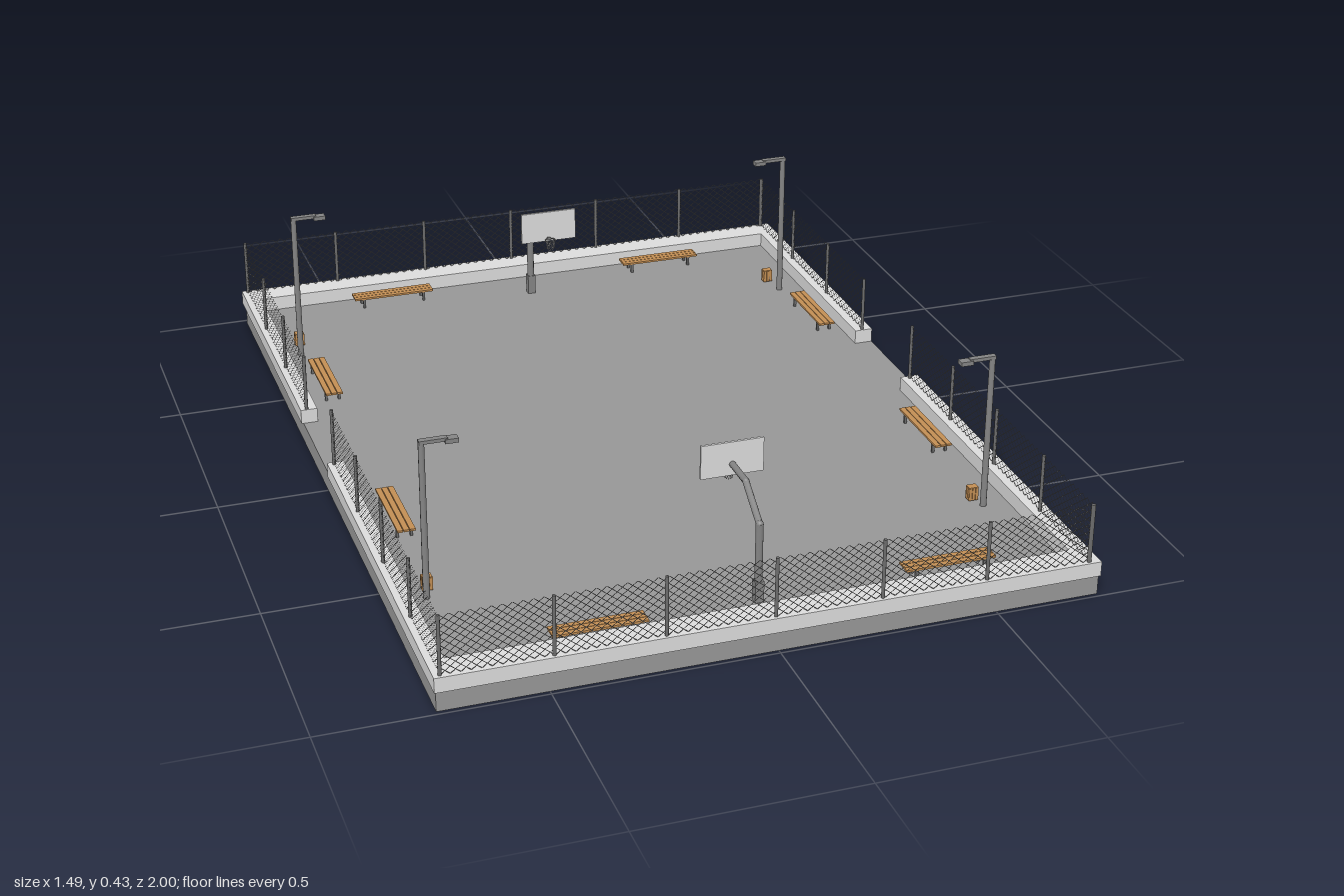
import * as THREE from 'three';
import { mergeGeometries } from 'three/addons/utils/BufferGeometryUtils.js';

const mat = (name, color) => {
  const m = new THREE.MeshStandardMaterial({ color });
  m.name = name;
  return m;
};

export function createModel() {
  const asphalt = mat('asphalt', 0x979797);
  const concrete = mat('concrete', 0xdcdcdc);
  const steel = mat('steel', 0x848484);
  const darkSteel = mat('dark steel', 0x6c6c6c);
  const wire = mat('fence wire', 0x868686);
  wire.side = THREE.DoubleSide;
  const wood = mat('wood', 0xc28e54);
  const FLOOR = 0.05, CURB = 0.085, TOP = 0.225;

  const model = new THREE.Group();
  model.name = 'sportsCourt';
  const group = (name, x = 0, y = 0, z = 0) => {
    const g = new THREE.Group();
    g.name = name;
    g.position.set(x, y, z);
    model.add(g);
    return g;
  };
  const add = (parent, name, geo, material) => {
    const m = new THREE.Mesh(geo, material);
    m.name = name;
    parent.add(m);
  };
  // box given by its minimum and maximum corners
  const box = (x0, y0, z0, x1, y1, z1) =>
    new THREE.BoxGeometry(x1 - x0, y1 - y0, z1 - z0)
      .translate((x0 + x1) / 2, (y0 + y1) / 2, (z0 + z1) / 2);
  // round bar between two points
  const bar = (a, b, r0, r1 = r0, sides = 8) => {
    const p = new THREE.Vector3(...a), q = new THREE.Vector3(...b);
    const d = q.clone().sub(p);
    const geo = new THREE.CylinderGeometry(r1, r0, d.length(), sides);
    geo.applyQuaternion(new THREE.Quaternion().setFromUnitVectors(
      new THREE.Vector3(0, 1, 0), d.normalize()));
    return geo.translate((p.x + q.x) / 2, (p.y + q.y) / 2, (p.z + q.z) / 2);
  };

  // Slab and raised curbs with a gateway on each long side
  add(model, 'courtSlab', box(-0.74, 0, -0.98, 0.74, FLOOR, 0.99), asphalt);
  add(model, 'backCurb', box(-0.745, FLOOR, -1, 0.74, CURB, -0.935), concrete);
  add(model, 'frontCurb', box(-0.745, FLOOR, 0.93, 0.74, CURB, 1), concrete);
  for (const [side, x0, x1] of [['right', -0.745, -0.705], ['left', 0.695, 0.74]]) {
    add(model, side + 'BackCurb', box(x0, FLOOR, -0.935, x1, CURB, -0.26), concrete);
    add(model, side + 'FrontCurb', box(x0, FLOOR, 0.025, x1, CURB, 0.93), concrete);
  }

  // Chain-link fence running along local x: posts plus clipped flat diagonal wires
  function fence(name, x, z, length, bays, alongZ, phase) {
    const g = group(name, x, CURB, z);
    if (alongZ) g.rotation.y = -Math.PI / 2;
    const h = TOP - CURB, run = h * 1.25, step = 0.022;
    const posts = [], wires = [];
    for (let i = 0; i <= bays; i++) {
      const u = length * i / bays;
      posts.push(bar([u, 0, 0], [u, h, 0], 0.0042));
    }
    for (let s = phase - run; s < length; s += step) {
      const a = Math.max(0, s), b = Math.min(length, s + run);
      if (b - a < 0.003) continue;
      const ya = (a - s) / run * h, yb = (b - s) / run * h;
      for (const flip of [false, true]) {
        const y0 = flip ? h - ya : ya, y1 = flip ? h - yb : yb;
        const geo = new THREE.PlaneGeometry(Math.hypot(b - a, y1 - y0), 0.0016);
        geo.rotateZ(Math.atan2(y1 - y0, b - a));
        wires.push(geo.translate((a + b) / 2, (y0 + y1) / 2, flip ? 0.0003 : -0.0003));
      }
    }
    add(g, 'fencePosts', mergeGeometries(posts), darkSteel);
    add(g, 'fenceWire', mergeGeometries(wires), wire);
  }
  fence('frontFence', -0.73, 0.99, 1.443, 6, false, 0);
  fence('backFence', -0.73, -0.99, 1.443, 6, false, 0.005);
  for (const [side, x, phase] of [['right', -0.73, 0], ['left', 0.715, 0.008]]) {
    fence(side + 'FrontFence', x, 0.035, 0.955, 4, true, 0);
    fence(side + 'BackFence', x, -0.99, 0.725, 3, true, phase);
  }

  // Hoop built at the front end, turned round for the back end
  function hoop(name, z, turn) {
    const g = group(name, 0, FLOOR, z);
    if (turn) g.rotation.y = Math.PI;
    add(g, 'hoopPole', mergeGeometries([
      box(-0.01, 0, -0.01, 0.01, 0.05, 0.01),
      bar([0, 0, 0], [0, 0.187, 0], 0.009),
      bar([0, 0.183, 0.002], [0, 0.245, -0.087], 0.008),
      bar([0, 0.244, -0.082], [0, 0.244, -0.168], 0.0075),
      new THREE.SphereGeometry(0.009, 10, 8).translate(0, 0.185, 0),
      new THREE.SphereGeometry(0.008, 10, 8).translate(0, 0.244, -0.085),
    ]), steel);
    add(g, 'backboard', box(-0.072, 0.217, -0.173, 0.072, 0.297, -0.167), concrete);
    const rim = new THREE.TorusGeometry(0.013, 0.0015, 6, 20).rotateX(Math.PI / 2);
    add(g, 'rim', mergeGeometries([
      rim.translate(0, 0.225, -0.189), box(-0.004, 0.222, -0.178, 0.004, 0.228, -0.173),
    ]), steel);
    const cords = [];
    for (let i = 0; i < 10; i++) {
      const a = i * Math.PI / 5;
      for (const twist of [-0.6, 0.6]) {
        cords.push(bar([Math.cos(a) * 0.013, 0.225, -0.189 + Math.sin(a) * 0.013],
          [Math.cos(a + twist) * 0.008, 0.2, -0.189 + Math.sin(a + twist) * 0.008], 0.0006, 0.0006, 4));
      }
    }
    add(g, 'net', mergeGeometries(cords), concrete);
  }
  hoop('frontHoop', 0.863, false);
  hoop('backHoop', -0.833, true);

  // Lamp posts reach their broad, flat heads over the court
  function lamp(x, z) {
    const g = group('lampPost', x, FLOOR, z);
    if (x > 0) g.rotation.y = Math.PI;
    add(g, 'lampPole', mergeGeometries([
      bar([0, 0, 0], [0, 0.377, 0], 0.0075, 0.0068, 10),
      box(-0.006, 0.369, -0.007, 0.056, 0.377, 0.007),
    ]), steel);
    add(g, 'lampHead', box(0.05, 0.364, -0.01, 0.079, 0.374, 0.01), steel);
  }

  // Bins: wooden staves round a dark liner
  function bin(x, z) {
    const g = group('litterBin', x, FLOOR, z);
    add(g, 'binLiner', box(-0.01, 0.004, -0.008, 0.01, 0.033, 0.008), darkSteel);
    const staves = [];
    for (const s of [-1, 0, 1]) {
      for (const f of [-1, 1]) {
        staves.push(new THREE.BoxGeometry(0.0068, 0.03, 0.002).translate(s * 0.0078, 0.018, f * 0.009));
        staves.push(new THREE.BoxGeometry(0.002, 0.03, 0.005).translate(f * 0.0108, 0.018, s * 0.0062));
      }
    }
    staves.push(new THREE.BoxGeometry(0.022, 0.002, 0.018).translate(0, 0.034, 0));
    add(g, 'binStaves', mergeGeometries(staves), wood);
  }
  for (const x of [-0.665, 0.635]) {
    lamp(x, 0.63);
    lamp(x, -0.64);
    bin(x < 0 ? -0.656 : 0.622, 0.597);
    bin(x < 0 ? -0.656 : 0.622, -0.7);
  }

  // Slatted benches on dark legs
  function bench(x, z, alongZ) {
    const g = group('bench', x, FLOOR, z);
    if (alongZ) g.rotation.y = Math.PI / 2;
    const slats = [-0.0143, 0, 0.0143].map(s =>
      box(-0.105, 0.024, s - 0.0064, 0.105, 0.029, s + 0.0064));
    add(g, 'benchSlats', mergeGeometries(slats), wood);
    const legs = [];
    for (const u of [-0.08, 0.08]) {
      legs.push(box(u - 0.004, 0.02, -0.019, u + 0.004, 0.024, 0.019));
      for (const s of [-0.016, 0.016]) {
        legs.push(box(u - 0.003, 0, s - 0.003, u + 0.003, 0.02, s + 0.003));
      }
    }
    add(g, 'benchLegs', mergeGeometries(legs), darkSteel);
  }
  for (const [x, z] of [[-0.365, -0.888], [0.377, -0.888], [-0.365, 0.89], [0.435, 0.873]]) bench(x, z, false);
  for (const x of [-0.645, 0.65]) {
    bench(x, -0.445, true);
    bench(x, 0.275, true);
  }

  return model;
}
